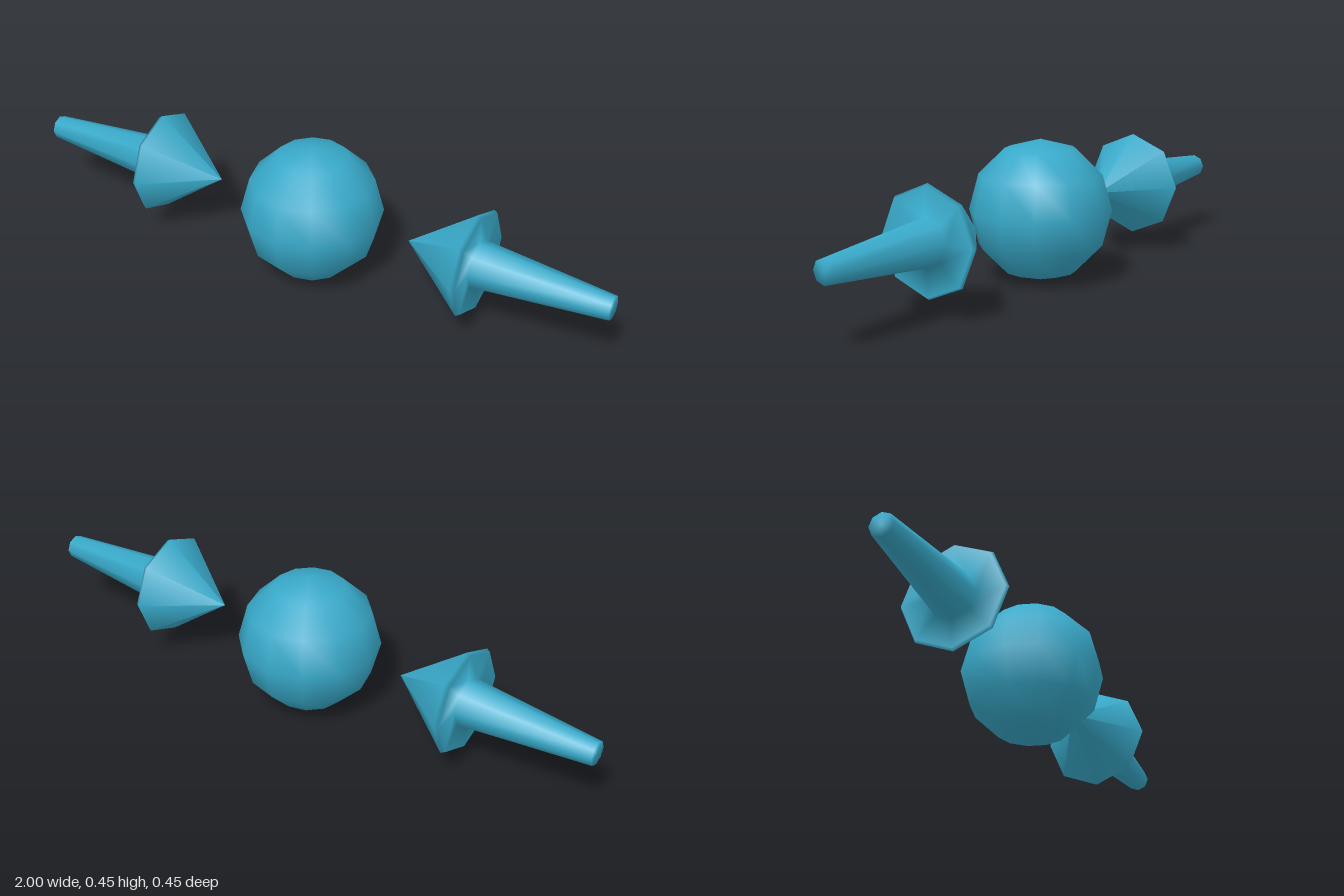
import * as THREE from 'three';

const CENTRE_Y = 0.227;

export function createModel() {
  const model = new THREE.Group();
  const material = new THREE.MeshStandardMaterial({ color: 0x38a9c9 });

  // Central ball, 12 sides by 6 rings
  const ball = new THREE.Mesh(new THREE.SphereGeometry(0.225, 12, 6), material);
  ball.name = 'ball';
  ball.position.y = CENTRE_Y;
  model.add(ball);

  // Arrow profile (radius, distance from centre): tip, bevelled rim, tapered shaft, end cap
  const profile = [
    [0, 0.34], [0.17, 0.563], [0.163, 0.575], [0.075, 0.575], [0.038, 1], [0, 1],
  ].map(([r, d]) => new THREE.Vector2(r, d));
  const arrowGeometry = new THREE.LatheGeometry(profile, 8);

  // Two arrows pointing inwards at the ball
  for (const side of [1, -1]) {
    const arrow = new THREE.Mesh(arrowGeometry, material);
    arrow.name = side > 0 ? 'leftArrow' : 'rightArrow';
    arrow.rotation.z = -side * Math.PI / 2;
    arrow.position.y = CENTRE_Y;
    model.add(arrow);
  }
  return model;
}
